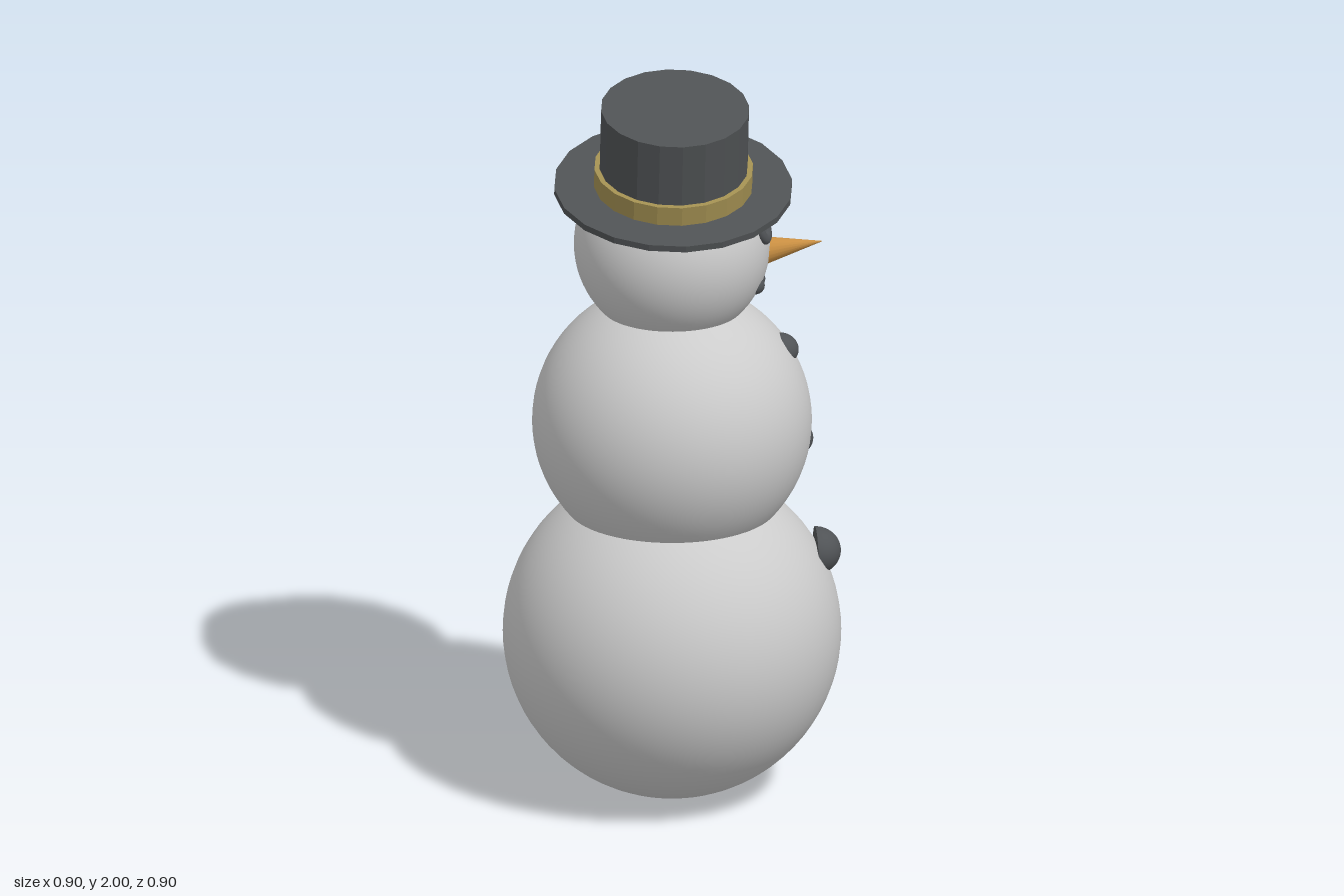
import * as THREE from 'three';

const material = (color, flatShading = false) => new THREE.MeshStandardMaterial({ color, flatShading });
const snow = material(0xcccccc);
const coal = material(0x505356);
const felt = material(0x505355, true);
const gold = material(0xa39052, true);
const carrot = material(0xc98f42);

function add(parent, name, geometry, mat, x, y, z) {
  const mesh = new THREE.Mesh(geometry, mat);
  mesh.name = name;
  mesh.position.set(x, y, z);
  parent.add(mesh);
  return mesh;
}

// Half ball with a closed flat back, bulging towards +x
function domeGeometry(height, width, depth) {
  const points = [new THREE.Vector2(0, 0), new THREE.Vector2(1, 0)];
  const dome = new THREE.SphereGeometry(1, 28, 12, 0, Math.PI * 2, 0, Math.PI / 2);
  const back = new THREE.LatheGeometry(points, 28);
  return [dome, back].map(g => g.rotateZ(-Math.PI / 2).scale(depth, height, width));
}

function addDome(parent, name, [x, y, z], height, width, depth) {
  const group = new THREE.Group();
  group.name = name;
  const [dome, back] = domeGeometry(height, width, depth);
  add(group, name + 'Dome', dome, coal, 0, 0, 0);
  add(group, name + 'Back', back, new THREE.MeshStandardMaterial({ color: coal.color, side: THREE.DoubleSide }), 0, 0, 0);
  group.position.set(x, y, z);
  parent.add(group);
}

export function createModel() {
  const model = new THREE.Group();
  model.name = 'snowman';

  // Three stacked snowballs
  [['lowerBody', 0.45, 0.453], ['upperBody', 0.372, 1.05], ['head', 0.261, 1.552]].forEach(([name, r, y]) =>
    add(model, name, new THREE.SphereGeometry(r, 64, 40), snow, 0, y, 0));

  // Coal buttons down the +x side
  addDome(model, 'topButton', [0.287, 1.243, 0.014], 0.044, 0.051, 0.05);
  addDome(model, 'middleButton', [0.335, 0.99, 0.014], 0.043, 0.044, 0.041);
  addDome(model, 'bottomButton', [0.383, 0.667, 0.012], 0.063, 0.068, 0.067);

  // Mouth pebbles
  [[0.213, 1.453, 0.081], [0.222, 1.446, 0.013], [0.217, 1.453, -0.057]].forEach((p, i) =>
    addDome(model, 'mouthPebble' + (i + 1), p, 0.024, 0.025, 0.026));

  // Ring eyes lying on the head
  for (const z of [0.093, -0.057]) {
    const ring = new THREE.TorusGeometry(0.027, 0.013, 12, 28).scale(1, 1.25, 1);
    const eye = add(model, z > 0 ? 'rightEye' : 'leftEye', ring, coal, z > 0 ? 0.232 : 0.243, 1.624, z);
    eye.lookAt(eye.position.clone().multiplyScalar(2).sub(new THREE.Vector3(0, 1.552, 0)));
  }

  // Carrot nose
  const base = new THREE.Vector3(0.215, 1.526, 0.022);
  const tip = new THREE.Vector3(0.4, 1.555, 0.037);
  const along = tip.clone().sub(base);
  const middle = base.clone().add(tip).multiplyScalar(0.5);
  const nose = add(model, 'nose', new THREE.ConeGeometry(0.045, along.length(), 20), carrot, ...middle.toArray());
  nose.quaternion.setFromUnitVectors(new THREE.Vector3(0, 1, 0), along.normalize());

  // Tilted top hat
  const hat = new THREE.Group();
  hat.name = 'hat';
  add(hat, 'brim', new THREE.CylinderGeometry(0.318, 0.318, 0.018, 20), felt, 0, 0, 0);
  add(hat, 'crown', new THREE.CylinderGeometry(0.198, 0.198, 0.245, 20), felt, 0, 0.1225, 0);
  add(hat, 'band', new THREE.CylinderGeometry(0.212, 0.212, 0.055, 20), gold, 0, 0.036, 0);
  hat.position.set(0, 1.722, 0.028);
  hat.rotation.x = 0.19;
  model.add(hat);

  return model;
}
